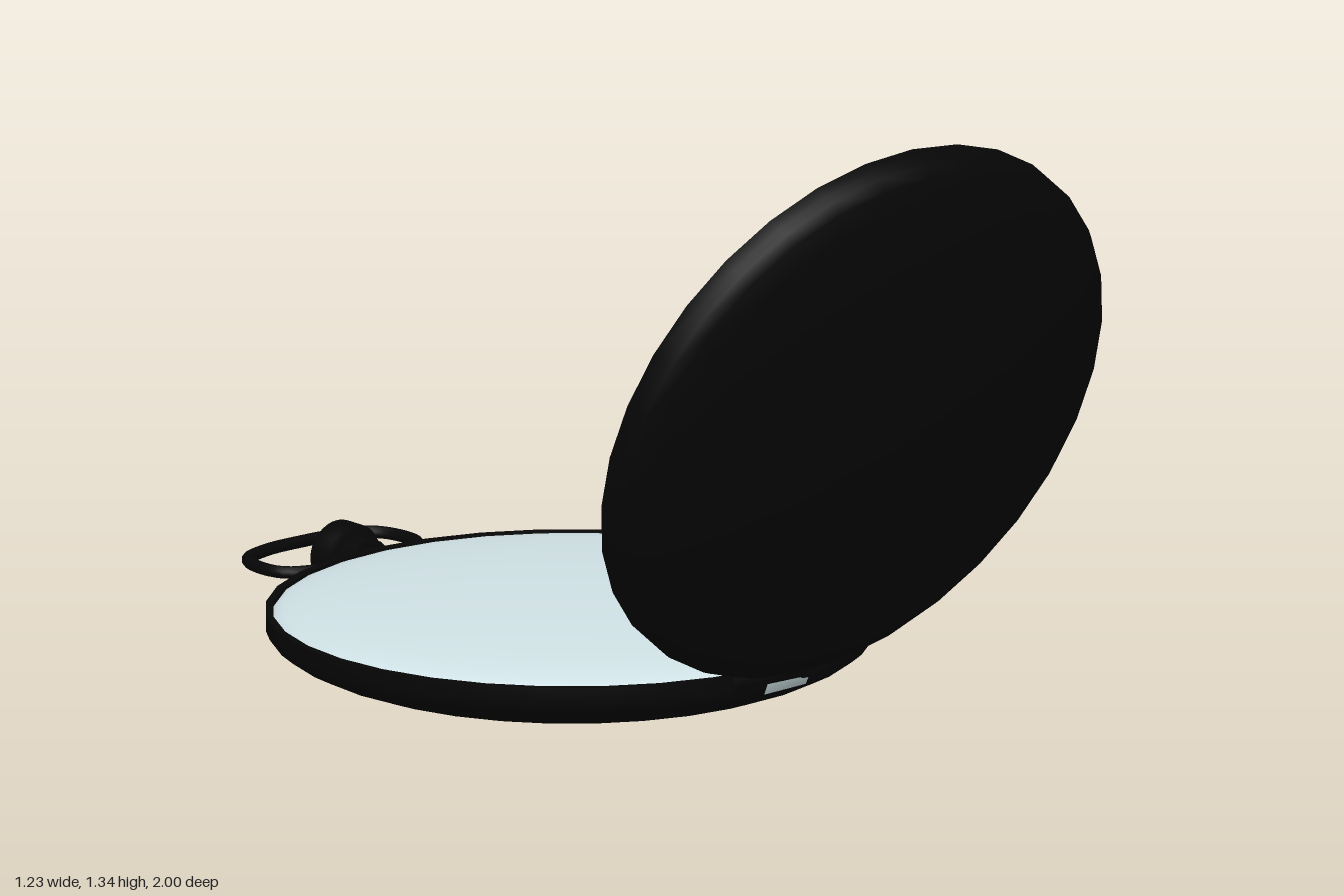
import * as THREE from 'three';

export function createModel() {
  const black = new THREE.MeshStandardMaterial({ color: 0x060606 });
  black.name = 'blackMetal';
  const pale = new THREE.MeshStandardMaterial({ color: 0xd2e4e8 });
  pale.name = 'paleGlass';

  const SIDES = 32, R = 0.615, RIM = 0.168, WALL = 0.137, CENTER_Z = -0.133;
  const watch = new THREE.Group();
  watch.name = 'pocketWatch';

  const add = (parent, name, geometry, material, x = 0, y = 0, z = 0) => {
    const mesh = new THREE.Mesh(geometry, material);
    mesh.name = name;
    mesh.position.set(x, y, z);
    parent.add(mesh);
    return mesh;
  };
  const lathe = (pts, segments = SIDES, arc = Math.PI * 2) =>
    new THREE.LatheGeometry(pts.map(([r, y]) => new THREE.Vector2(r, y)), segments, 0, arc);

  // Bowl curve from the centre out to the wall: mostly an ellipse, slightly softened
  const bowl = (r, floor) => {
    const pts = [];
    for (let i = 0; i <= 10; i++) {
      const a = (i / 10) * Math.PI / 2;
      const rise = 0.8 * (1 - Math.cos(a)) + 0.2 * Math.sin(a) ** 2;
      pts.push([r * Math.sin(a), floor + (WALL - floor) * rise]);
    }
    return pts;
  };

  // Round shell: outer bowl, flat rim and an inner bowl reaching down to innerFloor
  const LIP = R - 0.015;
  const addShell = (parent, name, innerFloor) => {
    const shell = new THREE.Group();
    shell.name = name;
    add(shell, name + 'Outside', lathe([...bowl(R, 0), [R, RIM]]), black);
    add(shell, name + 'Rim', lathe([[R, RIM], [LIP, RIM]]), black);
    add(shell, name + 'Inside', lathe([[LIP, RIM], ...bowl(LIP, innerFloor).reverse()]), black);
    parent.add(shell);
    return shell;
  };

  // Watch case
  addShell(watch, 'case', 0.012).position.z = CENTER_Z;

  // Domed glass, steepest near its edge
  const dome = [];
  for (let i = 0; i <= 12; i++) {
    const a = (i / 12) * Math.PI / 2;
    dome.push([(LIP + 0.001) * Math.cos(a), 0.156 + 0.051 * Math.sin(a)]);
  }
  add(watch, 'glass', lathe(dome), pale, 0, 0, CENTER_Z);

  // Open lid with a shallow inside, leaning forward on its hinge
  const lid = new THREE.Group();
  lid.name = 'lid';
  lid.position.set(0, 0.766, 0.73);
  lid.rotation.x = -1.224;
  addShell(lid, 'lidShell', 0.08).position.y = -RIM;
  watch.add(lid);

  // Hinge knuckles and leaf
  const knuckle = (x, length, r) => {
    const g = new THREE.CylinderGeometry(r, r, length, 12).rotateZ(Math.PI / 2);
    add(watch, 'hingeKnuckle', g, black, x, 0.166, 0.508);
  };
  knuckle(0, 0.14, 0.017);
  for (const s of [-1, 1]) knuckle(s * 0.095, 0.052, 0.021);
  add(watch, 'hingeLeaf', new THREE.BoxGeometry(0.23, 0.02, 0.045), black, 0, 0.157, 0.484);

  // Pale inset below the hinge, one facet of the case wide
  const inset = lathe([[R - 0.009, 0.115], [R + 0.001, 0.137], [R + 0.001, 0.148]], 1, Math.PI * 2 / SIDES);
  add(watch, 'hingeInset', inset, pale, 0, 0, CENTER_Z);

  // Winding crown: neck, collar and knob along -z
  const Y = 0.13;
  const post = (name, r, z0, z1) => {
    const g = new THREE.CylinderGeometry(r, r, z0 - z1, 20).rotateX(Math.PI / 2);
    add(watch, name, g, black, 0, Y, (z0 + z1) / 2);
  };
  post('crownNeck', 0.035, -0.71, -0.78);
  post('crownCollar', 0.05, -0.765, -0.815);
  const knob = lathe([[0, 0], [0.06, 0], [0.07, 0.01], [0.07, 0.06], [0.062, 0.07], [0, 0.07]]);
  add(watch, 'crownKnob', knob.rotateX(-Math.PI / 2), black, 0, Y, -0.808);

  // Carrying bow: a closed rounded loop lying flat
  const half = [[0, -0.987], [0.09, -0.981], [0.165, -0.95], [0.187, -0.89], [0.175, -0.825], [0.12, -0.797]];
  const loop = [
    ...half, [0, -0.79],
    ...half.slice(1).reverse().map(([x, z]) => [-x, z]),
  ].map(([x, z]) => new THREE.Vector3(x, 0, z));
  const path = new THREE.CatmullRomCurve3(loop, true);
  add(watch, 'bow', new THREE.TubeGeometry(path, 64, 0.013, 10, true), black, 0, Y, 0);

  return watch;
}
